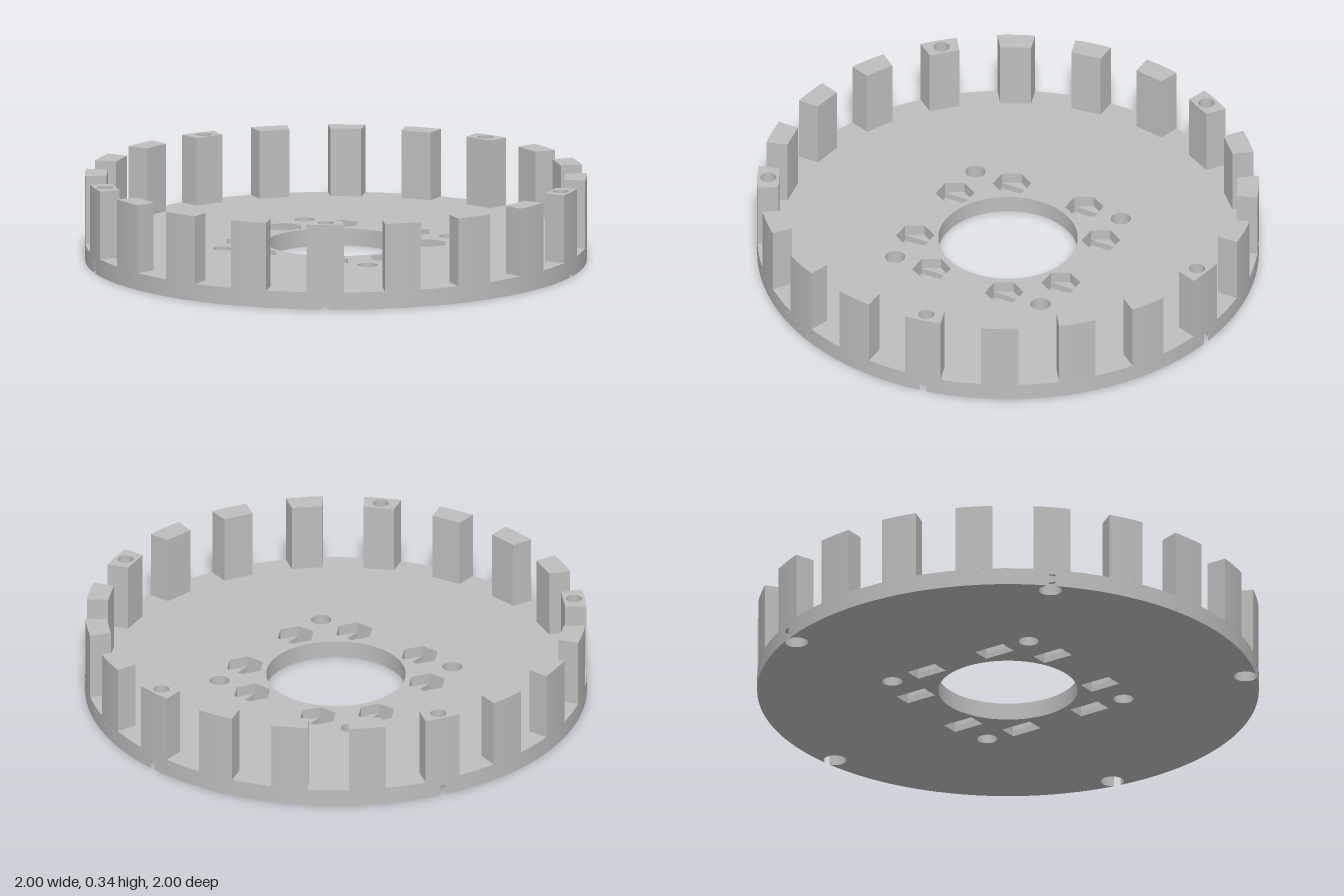
import * as THREE from 'three';
import { toCreasedNormals } from 'three/addons/utils/BufferGeometryUtils.js';

const RIM = 1, BORE = 0.278, POST_COUNT = 20, SLOT_HALF = 0.082, POST_INNER = 0.913;
const SCREW_R = 0.956, SCREW_HOLE = 0.032, HEAD_HOLE = 0.046;
const NUT_FLOOR = 0.025, HEAD_TOP = 0.05, DISC_TOP = 0.07, TOP = 0.345;
const RAD = Math.PI / 180;

// screws sit in every fourth post; angle is clockwise from the back, seen from above
const screwAngles = [0, 1, 2, 3, 4].map((i) => (9 + 72 * i) * RAD);

const circle = (x, y, r) => new THREE.Path().absarc(x, y, r, 0, Math.PI * 2, true);
const polygon = (pts) => new THREE.Path(pts.map(([x, y]) => new THREE.Vector2(x, y)));

// extrude a plan shape upwards from y0 to y1
function slab(shape, y0, y1, curveSegments = 48) {
  const g = new THREE.ExtrudeGeometry(shape, { depth: y1 - y0, bevelEnabled: false, curveSegments });
  g.rotateX(-Math.PI / 2).translate(0, y0, 0);
  return toCreasedNormals(g, 0.5);
}

// rim outline, bitten through by the screw head recesses
function notchedDisc() {
  const d = SCREW_R, r = HEAD_HOLE;
  const delta = Math.acos((RIM * RIM + d * d - r * r) / (2 * RIM * d));
  const beta = Math.atan2(RIM * Math.sin(delta), RIM * Math.cos(delta) - d);
  const s = new THREE.Shape();
  for (let i = 0; i < 5; i++) {
    const phi = (81 + 72 * i) * RAD;
    s.absarc(d * Math.cos(phi), d * Math.sin(phi), r, phi - beta, phi + beta, true);
    s.absarc(0, 0, RIM, phi + delta, phi + 72 * RAD - delta, false);
  }
  return s;
}

function fullDisc() {
  const s = new THREE.Shape().absarc(0, 0, RIM, 0, Math.PI * 2, false);
  for (const a of screwAngles) s.holes.push(circle(SCREW_R * Math.sin(a), SCREW_R * Math.cos(a), SCREW_HOLE));
  return s;
}

// centre bore, four round holes and eight nut openings (hexagonal above, rectangular below)
function addCentreHoles(s, hexagonal) {
  s.holes.push(circle(0, 0, BORE));
  const R = 0.077, h = R * Math.sqrt(3) / 2;
  for (const sx of [-1, 1]) for (const sy of [-1, 1]) {
    s.holes.push(circle(sx * 0.331, sy * 0.331, 0.04));
    for (const [px, py] of [[0.165, 0.332], [0.331, 0.165]]) {
      const x = sx * px, y = sy * py;
      const left = hexagonal ? [[x - R, y]] : [], right = hexagonal ? [[x + R, y]] : [];
      s.holes.push(polygon([[x - R / 2, y - h], ...left, [x - R / 2, y + h],
        [x + R / 2, y + h], ...right, [x + R / 2, y - h]]));
    }
  }
  return s;
}

// post between two parallel-sided radial slots: curved outside, flat inside
function postShape(withHole) {
  const sn = Math.sin(9 * RAD), cs = Math.cos(9 * RAD);
  const edge = (t) => [t * sn - SLOT_HALF * cs, t * cs + SLOT_HALF * sn];
  const [ox, oy] = edge(Math.sqrt(RIM * RIM - SLOT_HALF * SLOT_HALF));
  const [ix, iy] = edge((POST_INNER - SLOT_HALF * sn) / cs);
  const a = Math.atan2(oy, ox);
  const s = new THREE.Shape();
  s.moveTo(-ix, iy);
  s.lineTo(ix, iy);
  s.absarc(0, 0, RIM, a, Math.PI - a, false);
  s.lineTo(-ix, iy);
  if (withHole) s.holes.push(circle(0, SCREW_R, SCREW_HOLE));
  return s;
}

export function createModel() {
  const grey = new THREE.MeshStandardMaterial({ color: 0xbebebe });
  grey.name = 'grey';
  const group = new THREE.Group();
  group.name = 'slottedDisc';
  const add = (geometry, name) => {
    const m = new THREE.Mesh(geometry, grey);
    m.name = name;
    group.add(m);
    return m;
  };

  // disc in three layers
  add(slab(addCentreHoles(notchedDisc(), false), 0, NUT_FLOOR), 'discBottom');
  add(slab(addCentreHoles(notchedDisc(), true), NUT_FLOOR, HEAD_TOP), 'discMiddle');
  add(slab(addCentreHoles(fullDisc(), true), HEAD_TOP, DISC_TOP), 'discTop');

  // ring of posts, every fourth one bored for a screw
  const plain = slab(postShape(false), DISC_TOP, TOP, 12);
  const bored = slab(postShape(true), DISC_TOP, TOP, 12);
  for (let i = 0; i < POST_COUNT; i++) {
    const hasScrew = i % 4 === 0;
    const post = add(hasScrew ? bored : plain, hasScrew ? 'boredPost' : 'post');
    post.rotation.y = -(9 + 18 * i) * RAD;
  }
  return group;
}
